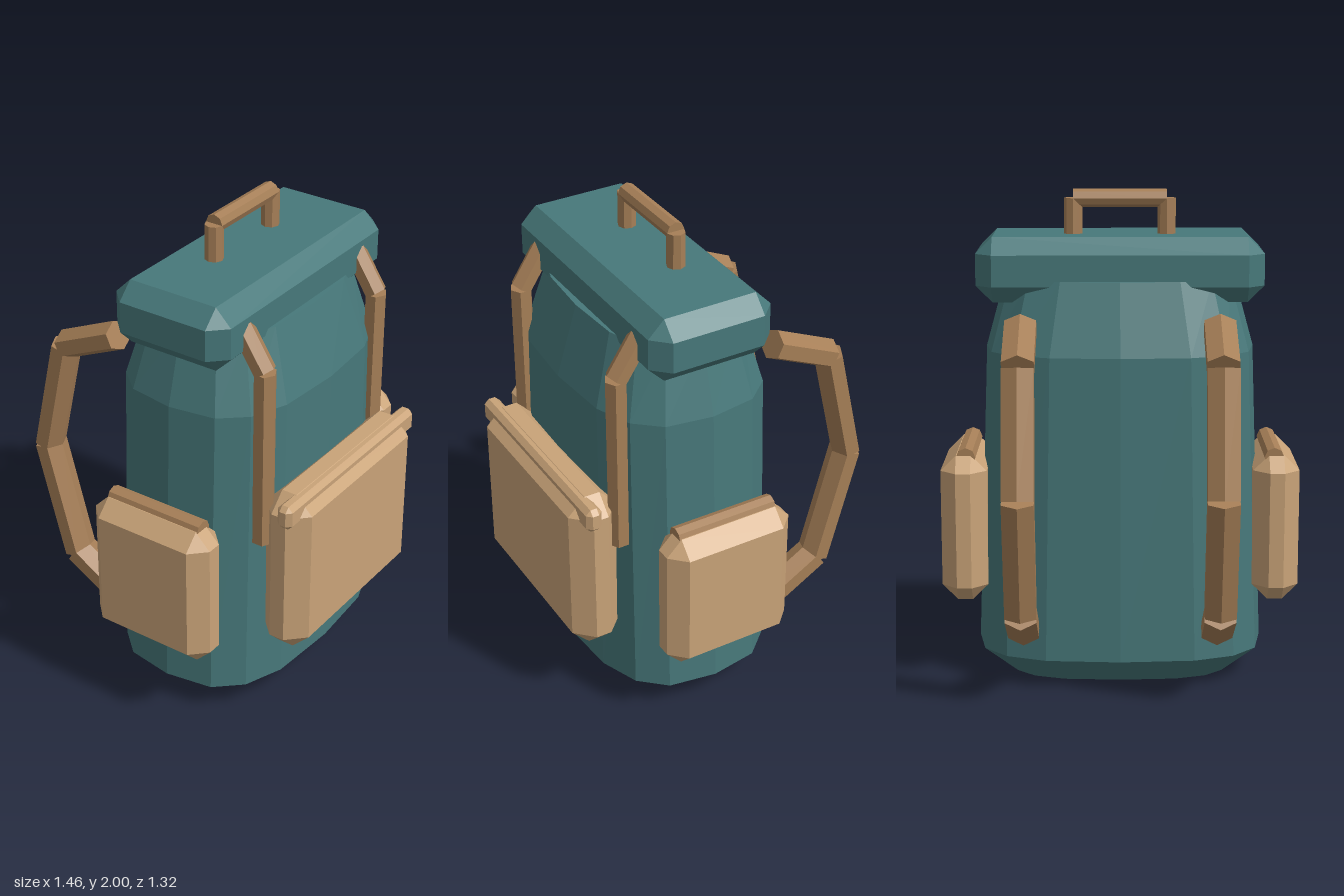
import * as THREE from 'three';
import { ConvexGeometry } from 'three/addons/geometries/ConvexGeometry.js';

const material = (color) => new THREE.MeshStandardMaterial({ color, flatShading: true });

// Box between two corners with every edge cut by c
function chamferBox(min, max, c) {
  const points = [];
  for (let i = 0; i < 8; i++) {
    const corner = [0, 1, 2].map((k) => ((i >> k) & 1 ? max[k] : min[k]));
    for (let keep = 0; keep < 3; keep++) {
      const p = corner.map((v, k) => (k === keep ? v : v + ((i >> k) & 1 ? -c : c)));
      points.push(new THREE.Vector3(...p));
    }
  }
  return new ConvexGeometry(points);
}

// Faceted rod from a to b; a corner of the section lies in the local z direction
function rod(a, b, radius, sides, widen = 1) {
  const start = new THREE.Vector3(...a);
  const dir = new THREE.Vector3(...b).sub(start);
  const geo = new THREE.CylinderGeometry(radius, radius, dir.length(), sides);
  geo.scale(widen, 1, 1);
  geo.applyQuaternion(new THREE.Quaternion().setFromUnitVectors(
    new THREE.Vector3(0, 1, 0), dir.clone().normalize()));
  const mid = start.addScaledVector(dir, 0.5);
  return geo.translate(mid.x, mid.y, mid.z);
}

// Closed sack lofted through rounded-rectangle rings [y, halfWidth, halfDepth, centreZ]
function sack(rings, n = 16, power = 0.7) {
  const pos = [], index = [];
  const soft = (v) => Math.sign(v) * Math.abs(v) ** power;
  for (const [y, w, d, cz] of rings) {
    for (let i = 0; i < n; i++) {
      const t = (i / n) * Math.PI * 2;
      pos.push(w * soft(Math.sin(t)), y, cz + d * soft(Math.cos(t)));
    }
  }
  for (let r = 0; r < rings.length - 1; r++) {
    for (let i = 0; i < n; i++) {
      const a = r * n + i, b = r * n + ((i + 1) % n);
      index.push(a, b, b + n, a, b + n, a + n);
    }
  }
  // End caps
  const top = (rings.length - 1) * n;
  for (let i = 1; i < n - 1; i++) {
    index.push(0, i + 1, i, top, top + i, top + i + 1);
  }
  const geo = new THREE.BufferGeometry();
  geo.setAttribute('position', new THREE.Float32BufferAttribute(pos, 3));
  geo.setIndex(index);
  geo.computeVertexNormals();
  return geo;
}

export function createModel() {
  const model = new THREE.Group();
  model.name = 'backpack';
  const cloth = material(0x47787a);
  const pocketCloth = material(0xc9a378);
  const leather = material(0xa67f57);

  const add = (name, geo, mat, parent = model) => {
    const mesh = new THREE.Mesh(geo, mat);
    mesh.name = name;
    parent.add(mesh);
  };
  const addStrap = (name, path, radius, widen) => {
    const strap = new THREE.Group();
    strap.name = name;
    for (let i = 0; i < path.length - 1; i++) {
      add('strapSection', rod(path[i], path[i + 1], radius, 6, widen), leather, strap);
    }
    model.add(strap);
  };

  // Main bag and lid
  add('body', sack([
    [0, 0.45, 0.25, 0.13],
    [0.12, 0.59, 0.385, 0.132],
    [1.36, 0.545, 0.373, 0.132],
    [1.65, 0.465, 0.285, 0.132],
  ]), cloth);
  add('lid', chamferBox([-0.575, 1.56, -0.13], [0.575, 1.82, 0.39], 0.067), cloth);

  // Front pocket with its closing bar
  add('frontPocket', chamferBox([-0.43, 0.32, 0.45], [0.43, 1.037, 0.66], 0.073), pocketCloth);
  add('frontPocketFlap', chamferBox([-0.462, 0.935, 0.56], [0.462, 1.035, 0.627], 0.02), pocketCloth);

  // Carry handle
  const handle = new THREE.Group();
  handle.name = 'handle';
  model.add(handle);
  add('handleBar', rod([-0.188, 1.963, 0.088], [0.188, 1.963, 0.088], 0.037, 8), leather, handle);

  for (const s of [1, -1]) {
    const side = s > 0 ? 'left' : 'right';
    add('handlePost', rod([s * 0.188, 1.79, 0.088], [s * 0.188, 1.963, 0.088], 0.037, 8), leather, handle);

    // Side pocket and the ridge along its top
    const x = [s * 0.54, s * 0.728].sort((a, b) => a - b);
    add(side + 'Pocket', chamferBox([x[0], 0.335, -0.143], [x[1], 0.94, 0.403], 0.064), pocketCloth);
    add(side + 'PocketTrim', rod([s * 0.625, 0.93, -0.082], [s * 0.625, 0.93, 0.345], 0.04, 8), leather);

    // Closing strap on the front
    addStrap(side + 'FrontStrap', [
      [s * 0.39, 0.8, 0.46], [s * 0.39, 1.545, 0.46], [s * 0.39, 1.705, 0.355],
    ], 0.045, 1.05);

    // Shoulder strap on the back
    addStrap(side + 'ShoulderStrap', [
      [s * 0.39, 1.485, -0.222], [s * 0.39, 1.365, -0.485], [s * 0.39, 0.875, -0.598],
      [s * 0.39, 0.385, -0.465], [s * 0.39, 0.245, -0.225],
    ], 0.06, 1.2);
  }
  return model;
}
